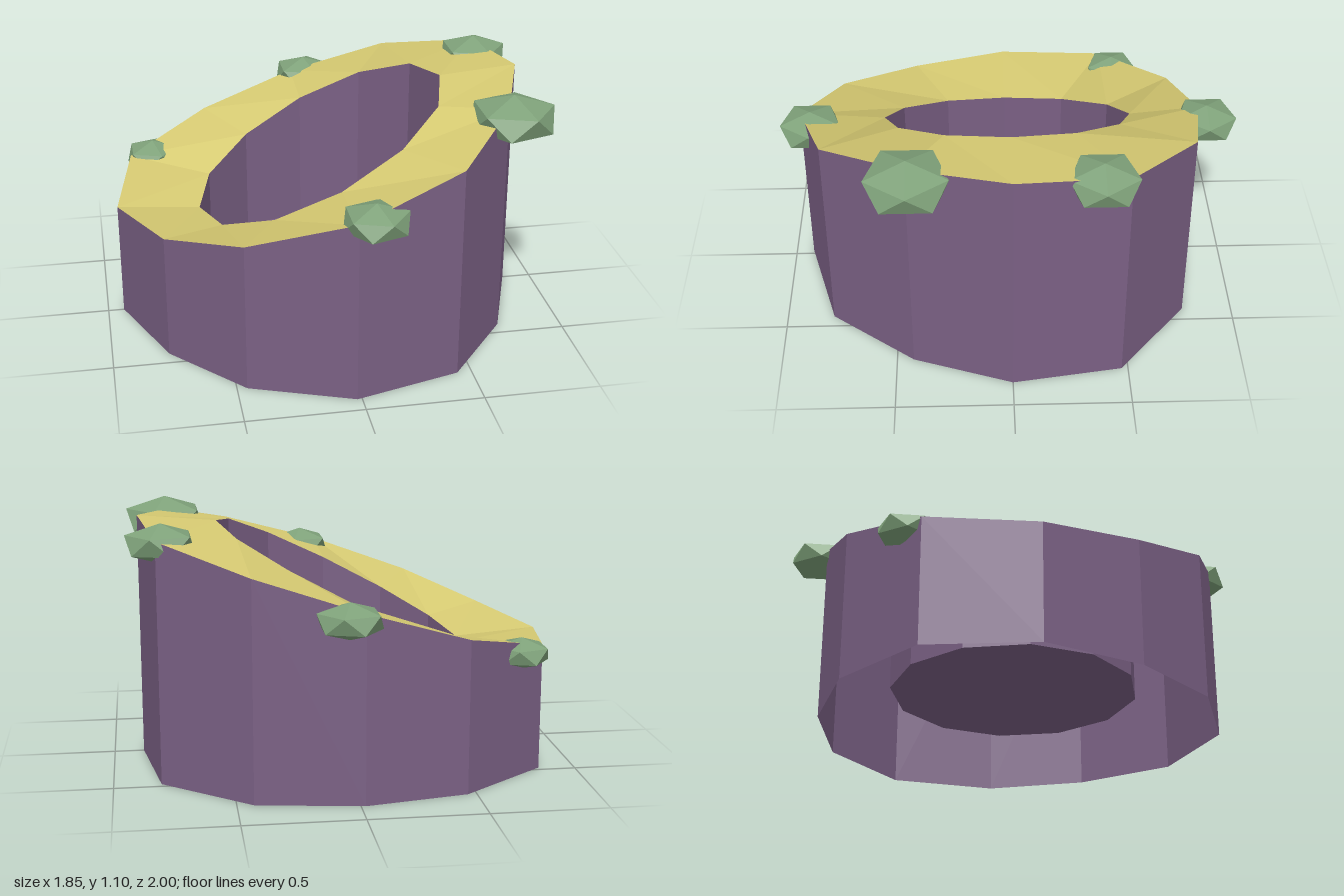
import * as THREE from 'three';

const SIDES = 12, CENTRE_X = -0.02, INNER_RADIUS = 0.545, FLOOR_Y = 0.15;
// Uneven outer radius at each corner, starting at +x and turning towards +z
const OUTER_RADII = [0.89, 0.855, 0.915, 0.92, 0.875, 0.85, 0.91, 0.95, 0.885, 0.85, 0.9, 0.945];

// A loop of corners; radius and height are functions of corner index and angle
function ring(radius, height) {
  return Array.from({ length: SIDES }, (_, i) => {
    const a = (i / SIDES) * Math.PI * 2;
    const r = radius(i);
    return [CENTRE_X + r * Math.cos(a), height(a), r * Math.sin(a)];
  });
}

// A closed band of faces between two loops
function band(name, from, to, material) {
  const points = [];
  for (let i = 0; i < SIDES; i++) {
    const j = (i + 1) % SIDES;
    points.push(...from[i], ...to[i], ...to[j], ...from[i], ...to[j], ...from[j]);
  }
  const geometry = new THREE.BufferGeometry();
  geometry.setAttribute('position', new THREE.Float32BufferAttribute(points, 3));
  geometry.computeVertexNormals();
  const mesh = new THREE.Mesh(geometry, material);
  mesh.name = name;
  return mesh;
}

export function createModel() {
  const group = new THREE.Group();
  group.name = 'slopedStump';
  const makeMaterial = (name, color) =>
    new THREE.MeshStandardMaterial({ name, color, flatShading: true, side: THREE.DoubleSide });
  const bark = makeMaterial('purple bark', 0x7a6084);
  const wood = makeMaterial('yellow rim', 0xd6ca72);
  const moss = makeMaterial('green moss', 0x7fa27a);

  // Slanted hollow stump, open underneath
  const slope = (a) => 0.8 + 0.28 * Math.cos(a);
  const outer = (i) => OUTER_RADII[i];
  const inner = () => INNER_RADIUS;
  const outerBottom = ring(outer, () => 0);
  const outerTop = ring(outer, slope);
  const innerTop = ring(inner, (a) => slope(a) - 0.03);
  const innerBottom = ring(inner, () => FLOOR_Y);
  group.add(
    band('outerWall', outerBottom, outerTop, bark),
    band('rim', outerTop, innerTop, wood),
    band('innerWall', innerTop, innerBottom, bark)
  );

  // Floor of the hollow
  const floor = new THREE.Mesh(new THREE.CircleGeometry(INNER_RADIUS, SIDES), bark);
  floor.name = 'hollowFloor';
  floor.rotation.x = -Math.PI / 2;
  floor.position.set(CENTRE_X, FLOOR_Y, 0);
  group.add(floor);

  // Flattened moss clumps along the rim, each with a corner pointing up
  const clump = new THREE.IcosahedronGeometry(1, 0);
  clump.rotateZ(-Math.atan(2 / (1 + Math.sqrt(5))));
  clump.scale(1, 0.51, 1);
  const clumps = [
    [0.74, 1.0, 0.42, 0.2],
    [0.06, 0.785, 0.865, 0.152],
    [-0.735, 0.538, -0.53, 0.133],
    [0.05, 0.78, -0.875, 0.15],
    [0.775, 1.015, -0.36, 0.166],
  ];
  for (const [x, y, z, size] of clumps) {
    const mesh = new THREE.Mesh(clump, moss);
    mesh.name = 'mossClump';
    mesh.position.set(x, y, z);
    mesh.scale.setScalar(size);
    group.add(mesh);
  }
  return group;
}
